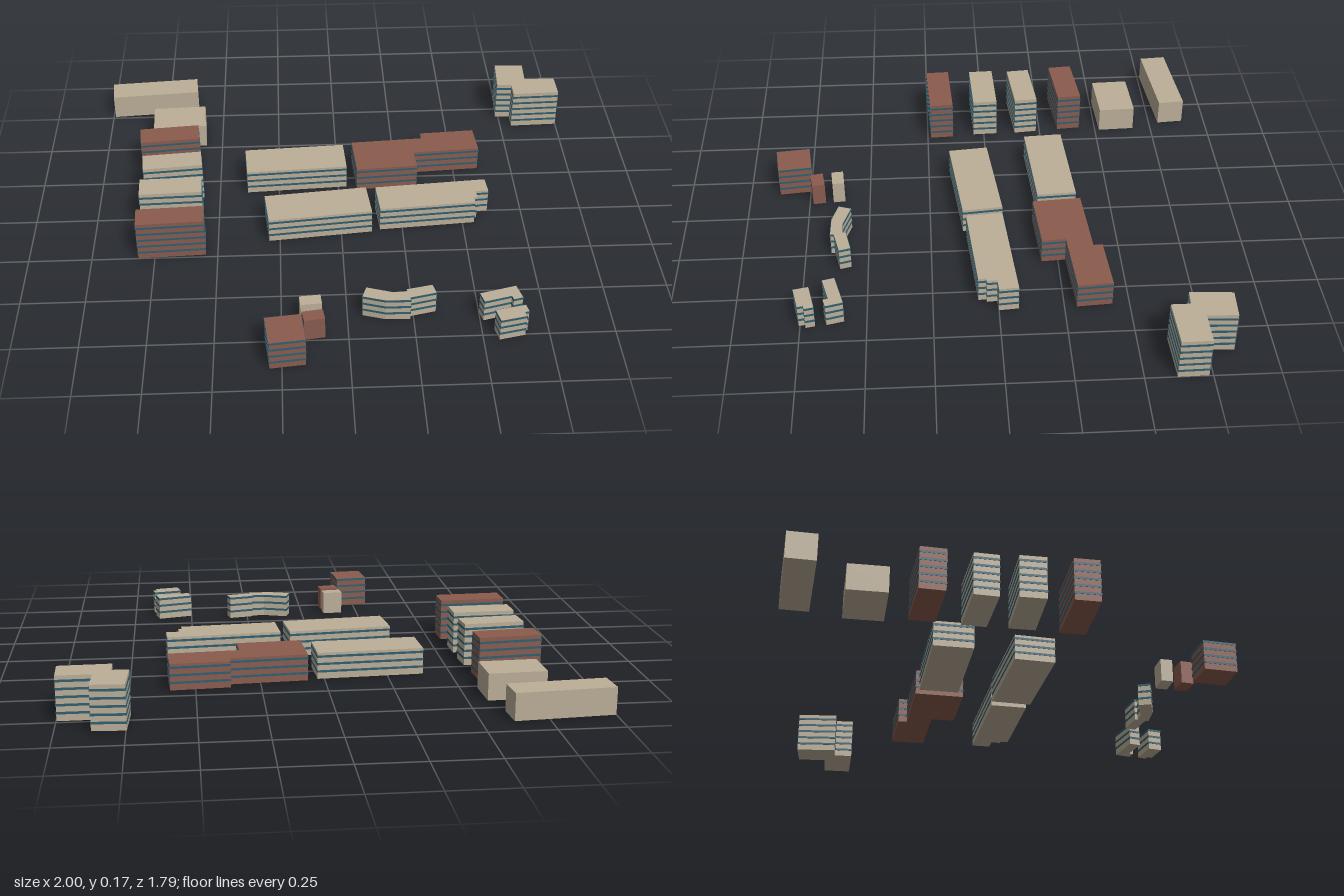
import * as THREE from 'three';

const stone = new THREE.MeshStandardMaterial({ color: 0xbcaf99 });
const brick = new THREE.MeshStandardMaterial({ color: 0x8a5c4e });
const glass = new THREE.MeshStandardMaterial({ color: 0x2f5f72 });

const LOW = 0.095, MID = 0.105, TALL = 0.17;
const FLOOR = 0.03, BAND = 0.009, LEDGE = 0.0015;

// Right-angled footprint: from a back-left corner, walk wall lengths that
// alternate along and across a direction turned by the given degrees
function walk(x, z, degrees, ...walls) {
  const a = THREE.MathUtils.degToRad(degrees);
  const along = [Math.cos(a), -Math.sin(a)], across = [Math.sin(a), Math.cos(a)];
  const plan = [[x, z]];
  walls.forEach((length, i) => {
    const dir = i % 2 ? across : along;
    x += dir[0] * length;
    z += dir[1] * length;
    plan.push([x, z]);
  });
  return plan;
}

const rect = (x, z, degrees, width, depth) => walk(x, z, degrees, width, depth, -width);

// Push each corner outward so that all edges move by d
function outset(plan, d) {
  const n = plan.length;
  const normal = (a, b) => new THREE.Vector2(b[1] - a[1], a[0] - b[0]).normalize();
  return plan.map((p, i) => {
    const n1 = normal(plan[(i + n - 1) % n], p);
    const n2 = normal(p, plan[(i + 1) % n]);
    const k = d / (1 + n1.dot(n2));
    return [p[0] + (n1.x + n2.x) * k, p[1] + (n1.y + n2.y) * k];
  });
}

// Upright prism over a footprint
function prism(plan, height, y, mat, name) {
  const shape = new THREE.Shape(plan.map(([x, z]) => new THREE.Vector2(x, -z)));
  const geo = new THREE.ExtrudeGeometry(shape, { depth: height, bevelEnabled: false });
  geo.rotateX(-Math.PI / 2);
  const mesh = new THREE.Mesh(geo, mat);
  mesh.position.y = y;
  mesh.name = name;
  return mesh;
}

// Windowless building
function plainBlock(name, mat, height, plan) {
  const building = new THREE.Group();
  building.name = name;
  building.add(prism(plan, height, 0, mat, 'walls'));
  return building;
}

// Building with one window band per storey
function bandedBlock(name, mat, height, plan) {
  const building = plainBlock(name, mat, height, plan);
  const ring = outset(plan, LEDGE);
  for (let y = FLOOR; y + BAND / 2 < height; y += FLOOR) {
    building.add(prism(ring, BAND, y - BAND / 2, glass, 'windowBand'));
  }
  return building;
}

export function createModel() {
  const model = new THREE.Group();
  model.name = 'buildingComplex';

  // western row
  model.add(
    plainBlock('northHall', stone, MID, rect(-1, -0.87, 4.5, 0.381, 0.11)),
    plainBlock('northAnnex', stone, MID, rect(-0.8, -0.662, 2.3, 0.226, 0.153)),
    bandedBlock('rowBlock1', brick, TALL, rect(-0.84, -0.408, 5.1, 0.248, 0.1)),
    bandedBlock('rowBlock2', stone, TALL, rect(-0.818, -0.213, 5, 0.244, 0.096)),
    bandedBlock('rowBlock3', stone, TALL, rect(-0.818, -0.048, 2, 0.252, 0.102)),
    bandedBlock('rowBlock4', brick, TALL, rect(-0.82, 0.15, 2.7, 0.269, 0.099)),
  );

  // central slabs
  model.add(
    bandedBlock('centreNorthWest', stone, MID, rect(-0.392, -0.325, 3.3, 0.419, 0.159)),
    bandedBlock('centreNorthEast', brick, MID,
      walk(0.065, -0.363, 3.8, 0.304, -0.036, 0.231, 0.137, -0.28, 0.095, -0.255)),
    bandedBlock('centreSouthWest', stone, MID, rect(-0.31, 0, 5.8, 0.42, 0.162)),
    bandedBlock('centreSouthEast', stone, MID,
      walk(0.147, -0.04, 4.5, 0.459, 0.076, -0.053, 0.04, -0.015, 0.031, -0.391)),
  );

  // stepped tower of two slightly turned wings
  model.add(bandedBlock('steppedTower', stone, TALL, [
    [0.747, -0.856], [0.871, -0.85], [0.866, -0.733], [0.998, -0.735],
    [1, -0.62], [0.8, -0.613], [0.8, -0.687], [0.737, -0.69],
  ]));

  // small southern houses
  model.add(
    plainBlock('shed', stone, LOW, rect(-0.182, 0.61, 5, 0.082, 0.049)),
    plainBlock('brickShed', brick, LOW, rect(-0.173, 0.695, 8.5, 0.079, 0.052)),
    bandedBlock('cornerBlock', brick, 0.125, rect(-0.311, 0.755, 6.3, 0.135, 0.137)),
    bandedBlock('bentHouse', stone, LOW, [
      [0.074, 0.57], [0.172, 0.601], [0.228, 0.598], [0.226, 0.587], [0.325, 0.566],
      [0.337, 0.61], [0.235, 0.634], [0.237, 0.648], [0.142, 0.646], [0.057, 0.62],
    ]),
    bandedBlock('eastHouse', stone, LOW,
      walk(0.5, 0.622, 14.7, 0.146, 0.068, -0.037, -0.02, -0.109)),
    bandedBlock('southEastHouse', stone, LOW,
      walk(0.547, 0.718, 12.2, 0.118, 0.036, -0.017, 0.023, -0.101)),
  );

  return model;
}
